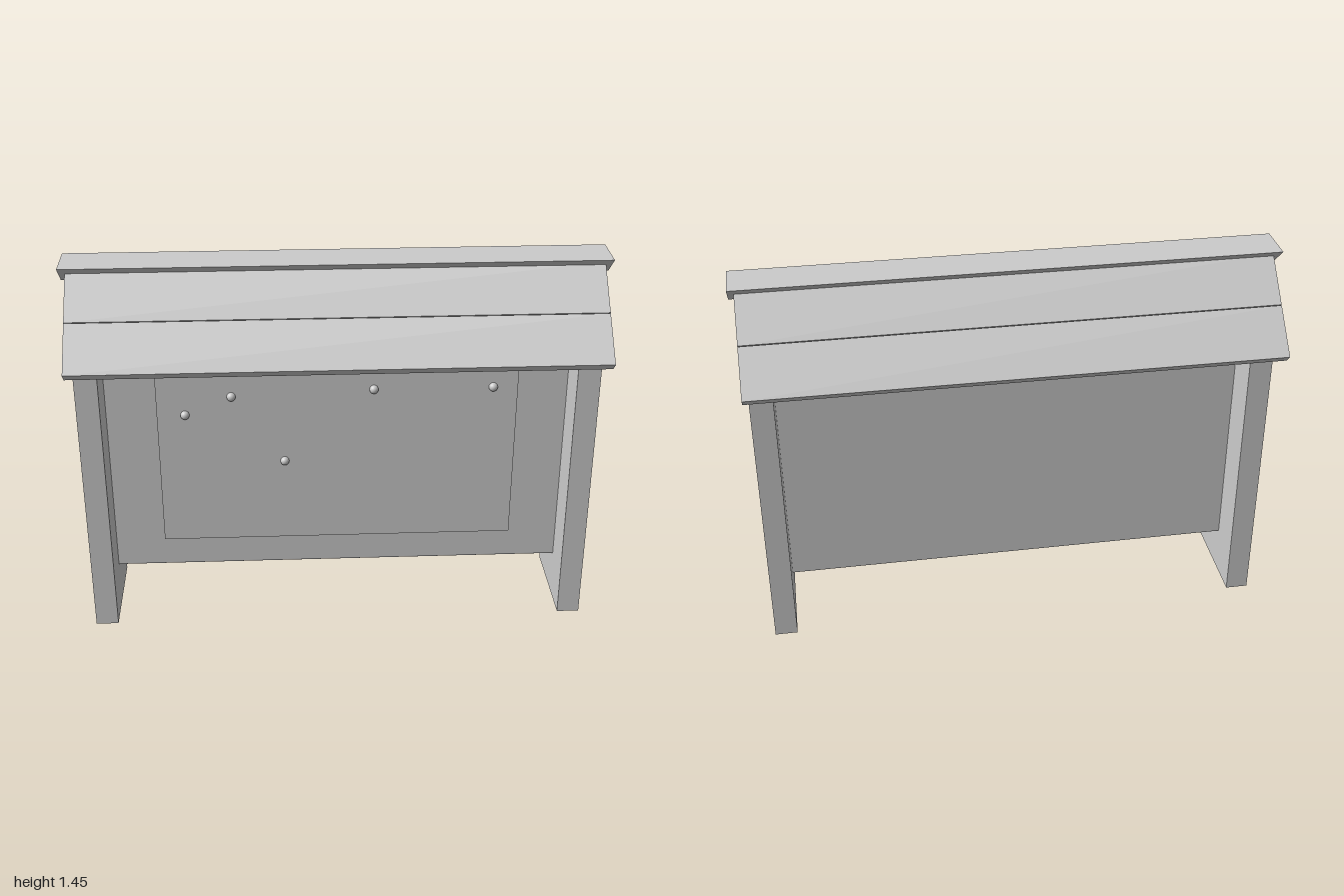
import * as THREE from 'three';
import { RoundedBoxGeometry } from 'three/addons/geometries/RoundedBoxGeometry.js';

const grey = new THREE.MeshStandardMaterial({ color: 0xcccccc });

function add(parent, name, geometry, x = 0, y = 0, z = 0) {
  const mesh = new THREE.Mesh(geometry, grey);
  mesh.name = name;
  mesh.position.set(x, y, z);
  parent.add(mesh);
  return mesh;
}

// Prism along x from a [z, y] end profile, centred on x = 0
function prism(profile, length) {
  const shape = new THREE.Shape(profile.map(([z, y]) => new THREE.Vector2(-z, y)));
  return new THREE.ExtrudeGeometry(shape, { depth: length, bevelEnabled: false })
    .translate(0, 0, -length / 2)
    .rotateY(Math.PI / 2);
}

export function createModel() {
  const model = new THREE.Group();
  model.name = 'noticeBoard';

  // Side posts
  for (const [name, side] of [['leftPost', 1], ['rightPost', -1]]) {
    add(model, name, new THREE.BoxGeometry(0.086, 1.17, 0.4), side * 0.918, 0.585, 0);
  }

  // Back panel between the posts, with softened edges
  add(model, 'backPanel', new RoundedBoxGeometry(1.77, 1.02, 0.08, 2, 0.008), 0, 0.68, 0);

  // Pin board on the front
  add(model, 'pinBoard', new THREE.BoxGeometry(1.365, 0.72, 0.03), 0, 0.66, 0.048);

  // Round-headed pins
  const pins = new THREE.Group();
  pins.name = 'pins';
  model.add(pins);
  for (const [x, y] of [[-0.576, 0.85], [-0.4, 0.923], [-0.203, 0.644], [0.137, 0.942], [0.588, 0.942]]) {
    add(pins, 'pin', new THREE.SphereGeometry(0.017, 20, 14), x, y, 0.067);
  }

  // Triangular roof core, forming the gables and the ceiling
  add(model, 'gable', prism([[0.232, 1.17], [0, 1.402], [-0.232, 1.17]], 1.92));

  // Two roof planks per slope at 45 degrees; profile built from distances out from the ridge
  const inner = 1.406, thick = 0.031;
  for (const [side, label] of [[1, 'front'], [-1, 'back']]) {
    for (const [plank, from, to] of [['UpperPlank', 0.01, 0.151], ['LowerPlank', 0.153, 0.292]]) {
      const profile = [
        [from, inner - from], [to, inner - to],
        [to + thick, inner - to + thick], [from + thick, inner - from + thick],
      ].map(([z, y]) => [side * z, y]);
      add(model, label + plank, prism(profile, 1.955));
    }
  }

  // Ridge cap with a flat top
  add(model, 'ridgeCap', prism([[-0.082, 1.448], [0.082, 1.448], [0, 1.376]], 2));

  return model;
}
